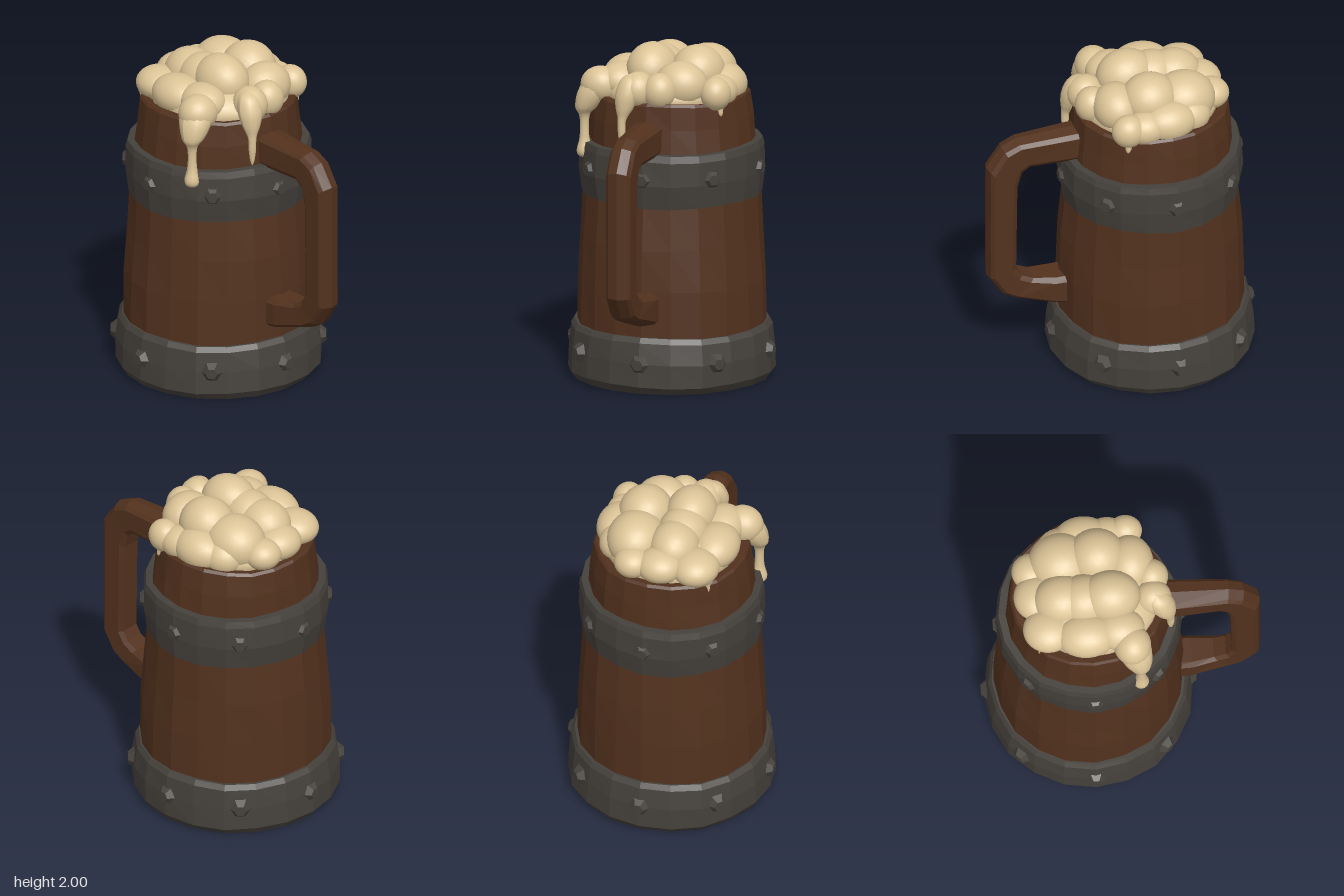
import * as THREE from 'three';
import { mergeVertices } from 'three/addons/utils/BufferGeometryUtils.js';

const CX = -0.19; // axis of the tankard
const SIDES = 20;

const wood = new THREE.MeshStandardMaterial({ color: 0x53321e, flatShading: true });
wood.name = 'wood';
const iron = new THREE.MeshStandardMaterial({ color: 0x45413c, flatShading: true });
iron.name = 'iron';
const froth = new THREE.MeshStandardMaterial({ color: 0xdcc497 });
froth.name = 'froth';

function add(parent, name, geometry, material) {
  const mesh = new THREE.Mesh(geometry, material);
  mesh.name = name;
  parent.add(mesh);
  return mesh;
}

// Turned shape with a slightly uneven, hand-hewn surface
function hewnLathe(profile, amount) {
  const geo = new THREE.LatheGeometry(profile.map(([r, y]) => new THREE.Vector2(r, y)), SIDES);
  const p = geo.attributes.position;
  for (let i = 0; i < p.count; i++) {
    const x = p.getX(i), y = p.getY(i), z = p.getZ(i);
    const a = Math.atan2(z, x);
    const s = 1 + amount * Math.sin(5 * a + 9 * y) * Math.cos(3 * a - 7 * y);
    const lift = y > 0.01 ? amount * 0.5 * Math.sin(4 * a + 5 * y) : 0;
    p.setXYZ(i, x * s, y + lift, z * s);
  }
  geo.computeVertexNormals();
  return geo;
}

// Ring of low, broad studs around a band
function studs(parent, name, y, radius) {
  for (let i = 0; i < 8; i++) {
    const a = i * Math.PI / 4;
    const stud = add(parent, name, new THREE.CylinderGeometry(0.034, 0.072, 0.05, 6), iron);
    stud.position.set(Math.cos(a) * radius, y, Math.sin(a) * radius);
    stud.rotation.set(0, -a, -Math.PI / 2);
  }
}

// Handle swept through stations: [outer x, outer y, inner x, inner y, half width]
function handleGeometry() {
  const stations = [
    [0.20, 1.61, 0.20, 1.41, 0.095], [0.32, 1.605, 0.34, 1.41, 0.092],
    [0.63, 1.59, 0.56, 1.41, 0.077], [0.72, 1.55, 0.61, 1.375, 0.075],
    [0.812, 1.42, 0.637, 1.28, 0.075], [0.812, 0.66, 0.645, 0.70, 0.075],
    [0.73, 0.53, 0.61, 0.645, 0.075], [0.66, 0.49, 0.54, 0.615, 0.078],
    [0.41, 0.41, 0.41, 0.60, 0.1], [0.26, 0.38, 0.26, 0.60, 0.1],
  ];
  // cross-section: [depth from outer to inner, share of half width]
  const section = [[0, 0], [0.08, 0.75], [0.2, 1], [0.85, 1], [1, 0.75],
    [1, -0.75], [0.85, -1], [0.2, -1], [0.08, -0.75]];
  const n = section.length, pos = [], idx = [];
  for (const [ox, oy, ix, iy, w] of stations)
    for (const [t, k] of section) pos.push(ox + (ix - ox) * t, oy + (iy - oy) * t, w * k);
  for (let s = 0; s < stations.length - 1; s++)
    for (let j = 0; j < n; j++) {
      const a = s * n + j, b = s * n + (j + 1) % n;
      idx.push(a, b, a + n, b, b + n, a + n);
    }
  const geo = new THREE.BufferGeometry();
  geo.setAttribute('position', new THREE.Float32BufferAttribute(pos, 3));
  geo.setIndex(idx);
  geo.computeVertexNormals();
  return geo;
}

// Smooth drip; profile of [radius, y] from the tip upwards
function drip(parent, name, x, z, profile, leanX = 0, leanZ = 0) {
  const pts = new THREE.SplineCurve(profile.map(([r, y]) => new THREE.Vector2(r, y))).getPoints(28);
  pts.forEach(p => { p.x = Math.max(p.x, 0); });
  const geo = new THREE.LatheGeometry(pts, 14);
  const p = geo.attributes.position;
  for (let i = 0; i < p.count; i++) {
    const k = Math.max(0, p.getY(i) - 1.6); // the top bends back over the rim
    p.setX(i, p.getX(i) + leanX * k);
    p.setZ(i, p.getZ(i) + leanZ * k);
  }
  geo.computeVertexNormals();
  add(parent, name, geo, froth).position.set(x, 0, z);
}

export function createModel() {
  const model = new THREE.Group();
  model.name = 'tankard';

  const barrel = new THREE.Group();
  barrel.name = 'barrel';
  barrel.position.x = CX;
  model.add(barrel);

  // Hollow wooden body with a thick rim
  add(barrel, 'body', hewnLathe([
    [0.556, 0.25], [0.552, 0.6], [0.538, 0.85], [0.52, 1.1], [0.485, 1.42],
    [0.473, 1.56], [0.458, 1.69], [0.445, 1.705], [0.405, 1.7], [0.39, 1.6], [0, 1.6],
  ], 0.014), wood);

  // Iron bands
  add(barrel, 'baseBand', hewnLathe([
    [0, 0], [0.575, 0], [0.608, 0.045], [0.605, 0.18], [0.588, 0.3], [0.568, 0.33], [0.53, 0.33],
  ], 0.01), iron);
  add(barrel, 'upperBand', hewnLathe([
    [0.49, 1.1], [0.525, 1.1], [0.545, 1.24], [0.54, 1.38], [0.528, 1.42], [0.46, 1.42],
  ], 0.01), iron);
  studs(barrel, 'baseStud', 0.18, 0.605);
  studs(barrel, 'upperStud', 1.27, 0.535);

  add(model, 'handle', handleGeometry(), wood);

  // Heap of froth: [x, y, z, rx, ry, rz]
  const foam = new THREE.Group();
  foam.name = 'foam';
  model.add(foam);
  const blobs = [
    [-0.18, 1.71, 0, 0.41, 0.17, 0.40],
    [-0.07, 1.84, 0.08, 0.18, 0.16, 0.15],
    [-0.22, 1.81, 0.08, 0.17, 0.15, 0.15],
    [-0.13, 1.83, -0.18, 0.17, 0.16, 0.16],
    [-0.34, 1.79, -0.17, 0.19, 0.16, 0.17],
    [-0.35, 1.80, 0.07, 0.17, 0.15, 0.15],
    [0.06, 1.79, -0.14, 0.14, 0.14, 0.16],
    [-0.20, 1.75, -0.32, 0.17, 0.12, 0.13],
    [-0.34, 1.74, -0.27, 0.13, 0.11, 0.12],
    [0.05, 1.75, -0.35, 0.10, 0.10, 0.09],
    [-0.06, 1.74, -0.33, 0.13, 0.10, 0.11],
    [0.18, 1.77, -0.05, 0.10, 0.11, 0.10],
    [0.18, 1.77, 0.08, 0.11, 0.11, 0.10],
    [-0.50, 1.76, 0.03, 0.13, 0.10, 0.14],
    [-0.52, 1.76, -0.13, 0.11, 0.09, 0.11],
    [-0.44, 1.75, 0.23, 0.15, 0.10, 0.14],
    [-0.22, 1.76, 0.28, 0.18, 0.12, 0.14],
    [-0.03, 1.77, 0.26, 0.15, 0.11, 0.13],
    [0.04, 1.75, 0.36, 0.11, 0.11, 0.12],
  ];
  for (const [x, y, z, rx, ry, rz] of blobs) {
    const ball = new THREE.IcosahedronGeometry(1, 4);
    ball.deleteAttribute('uv');
    const blob = add(foam, 'froth', mergeVertices(ball), froth);
    blob.position.set(x, y, z);
    blob.scale.set(rx, ry, rz);
  }

  // Drips running over the rim
  drip(foam, 'longDrip', 0.085, 0.445, [
    [0, 1.315], [0.036, 1.33], [0.046, 1.365], [0.03, 1.43], [0.026, 1.52], [0.035, 1.58],
    [0.065, 1.62], [0.09, 1.68], [0.098, 1.74], [0.08, 1.81], [0, 1.85],
  ], -0.25, -0.45);
  drip(foam, 'sideDrip', 0.28, 0.15, [
    [0, 1.43], [0.012, 1.46], [0.022, 1.53], [0.026, 1.61],
    [0.055, 1.68], [0.075, 1.76], [0.06, 1.84], [0, 1.875],
  ], -0.3, -0.15);
  const shortDrip = [[0, 1.62], [0.014, 1.635], [0.03, 1.68], [0.06, 1.73], [0.05, 1.79], [0, 1.82]];
  drip(foam, 'frontDrip', -0.5, 0.335, shortDrip, 0.2, -0.3);
  drip(foam, 'backDrip', 0.07, -0.395, shortDrip, -0.2, 0.3);

  return model;
}
